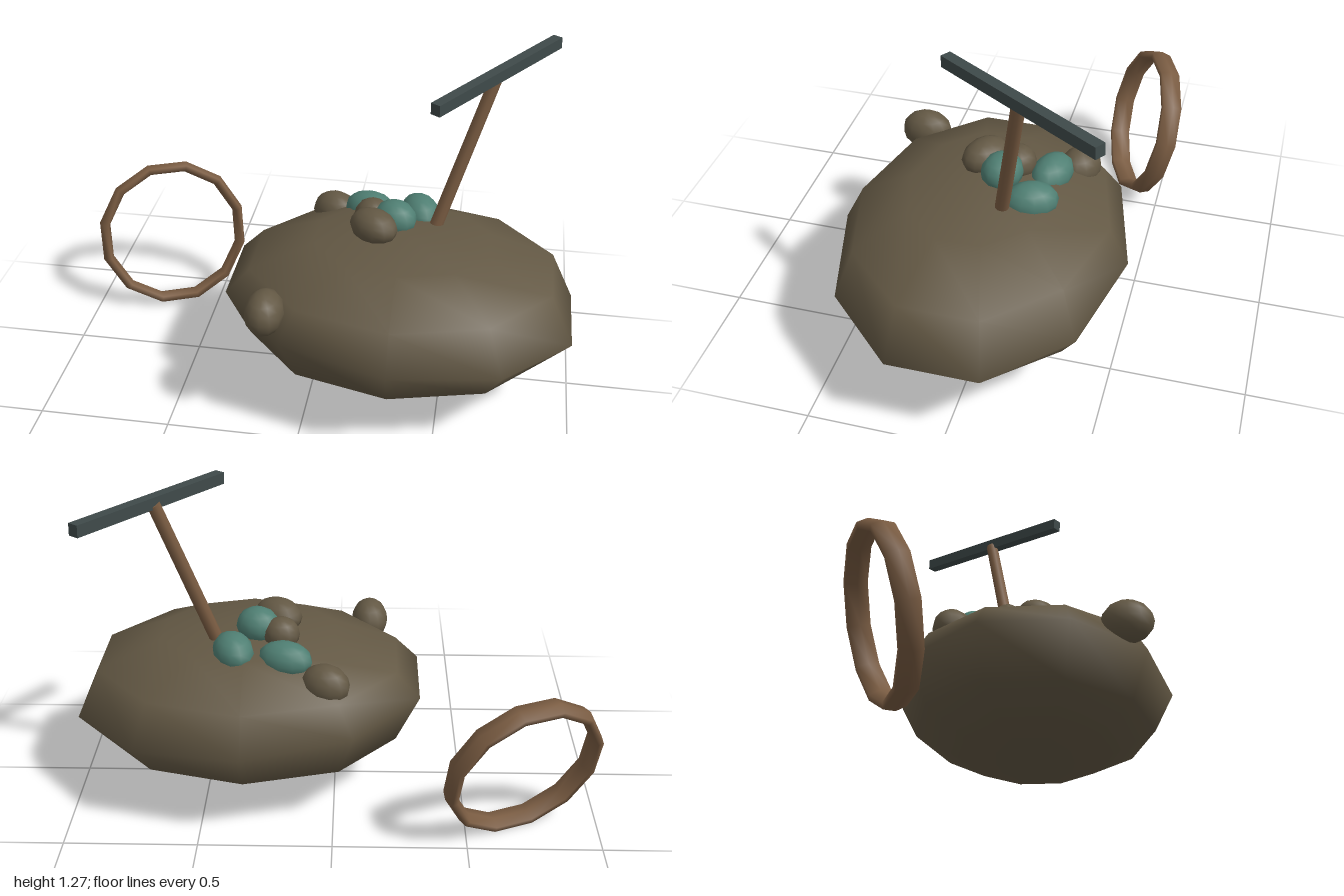
import * as THREE from 'three';

const mat = (name, color) => {
  const m = new THREE.MeshStandardMaterial({ color });
  m.name = name;
  return m;
};

export function createModel() {
  const group = new THREE.Group();
  const stone = mat('stone', 0x635844);
  const wood = mat('wood', 0x7a5c42);
  const iron = mat('iron', 0x3f4a4a);
  const ore = mat('ore', 0x4f7f73);

  const add = (name, geometry, material, parent = group) => {
    const mesh = new THREE.Mesh(geometry, material);
    mesh.name = name;
    parent.add(mesh);
    return mesh;
  };

  // Boulder: coarse smooth ellipsoid, its widest ring tipped sideways
  const rock = new THREE.SphereGeometry(1, 10, 6);
  rock.rotateY(Math.PI / 10);
  rock.scale(0.69, 0.29, 0.545);
  const p = rock.attributes.position;
  for (let i = 0; i < p.count; i++) {
    if (Math.abs(p.getY(i)) < 0.01) p.setY(i, -0.075 * p.getX(i));
  }
  add('boulder', rock, stone).position.set(0.33, 0.388, 0.03);

  // Loose pebbles and ore nuggets: position, radii, turn about y
  const lump = new THREE.SphereGeometry(1, 12, 8);
  const lumps = [
    ['pebble', stone, [-0.135, 0.505, 0.4], [0.074, 0.084, 0.1], 0],
    ['pebble', stone, [0.03, 0.565, -0.265], [0.095, 0.08, 0.075], -0.4],
    ['pebble', stone, [0.218, 0.695, 0.05], [0.1, 0.066, 0.075], -0.6],
    ['pebble', stone, [0.2, 0.675, -0.07], [0.07, 0.066, 0.065], 0],
    ['oreNugget', ore, [0.18, 0.63, -0.19], [0.105, 0.07, 0.072], -0.3],
    ['oreNugget', ore, [0.29, 0.69, -0.03], [0.085, 0.072, 0.075], -0.4],
    ['oreNugget', ore, [0.375, 0.645, -0.16], [0.075, 0.072, 0.1], 0.4],
  ];
  for (const [name, material, pos, size, turn] of lumps) {
    const m = add(name, lump, material);
    m.position.set(...pos);
    m.scale.set(...size);
    m.rotation.y = turn;
  }

  // Pick: leaning handle with a straight bar head
  const pick = new THREE.Group();
  pick.name = 'pick';
  group.add(pick);
  const foot = new THREE.Vector3(0.41, 0.54, -0.05);
  const tip = new THREE.Vector3(0.63, 1.235, -0.18);
  const axis = tip.clone().sub(foot);
  const handle = add('handle', new THREE.CylinderGeometry(0.024, 0.026, axis.length(), 10), wood, pick);
  handle.position.copy(foot).lerp(tip, 0.5);
  handle.quaternion.setFromUnitVectors(new THREE.Vector3(0, 1, 0), axis.normalize());

  const head = add('pickHead', new THREE.BoxGeometry(0.735, 0.044, 0.04), iron, pick);
  head.position.set(0.637, 1.243, -0.18);
  head.rotation.set(0, 0.968, 0.046);

  // Hoop: flat band of twelve sides, leaning back
  const ring = new THREE.TorusGeometry(0.295, 0.022, 6, 12);
  ring.rotateZ(Math.PI / 12);
  ring.scale(1, 1, 2.1);
  const hoop = add('hoop', ring, wood);
  hoop.position.set(-0.7, 0.306, -0.4);
  hoop.rotation.set(-0.26, 0.4, 0, 'YXZ');

  return group;
}
